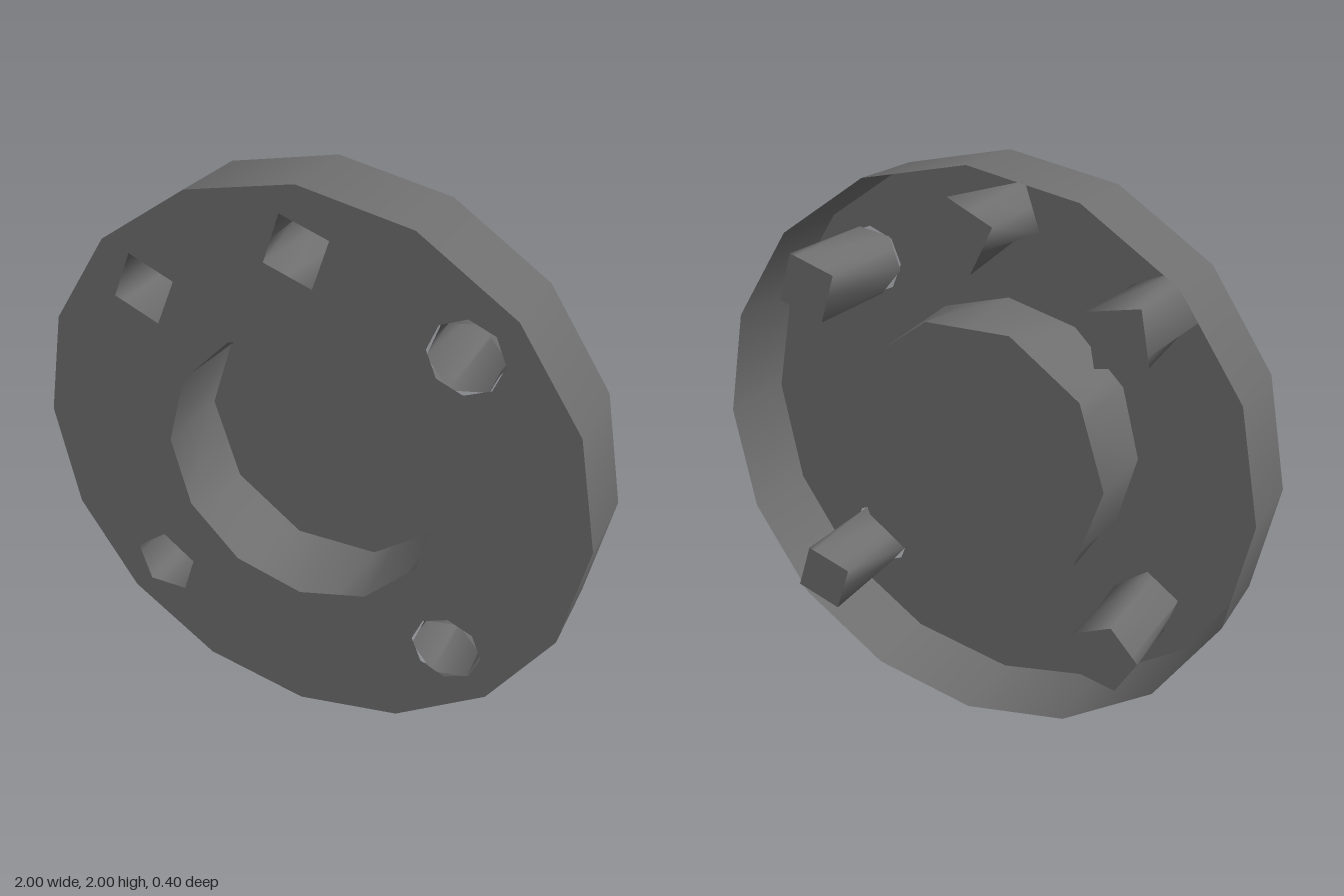
import * as THREE from 'three';
import { toCreasedNormals } from 'three/addons/utils/BufferGeometryUtils.js';

const TAU = Math.PI * 2;
const FRONT = 0.2, BACK = -0.1;
const material = new THREE.MeshStandardMaterial({ color: 0x6e6e6e, side: THREE.DoubleSide });

// Regular polygon: n sides, radius r, first corner at phase (degrees), centre x, y
const poly = (n, r, phase = 0, x = 0, y = 0) => ({ n, r, phase: THREE.MathUtils.degToRad(phase), x, y });

const corners = (p) => Array.from({ length: p.n }, (_, i) => {
  const a = p.phase + (i / p.n) * TAU;
  return new THREE.Vector2(p.x + p.r * Math.cos(a), p.y + p.r * Math.sin(a));
});

// Point on the polygon's outline in direction a
function outlinePoint(p, a) {
  const step = TAU / p.n;
  const local = ((((a - p.phase) % step) + step) % step) - step / 2;
  const d = (p.r * Math.cos(step / 2)) / Math.cos(local);
  return [p.x + d * Math.cos(a), p.y + d * Math.sin(a)];
}

// Open wall joining polygon p at the front to polygon q at z1, keeping both sets of corners
function wall(p, q, z1) {
  const angles = [];
  for (const s of [p, q]) {
    for (let i = 0; i < s.n; i++) {
      const a = (s.phase + (i / s.n) * TAU) % TAU;
      if (!angles.some((b) => Math.abs(a - b) < 1e-4)) angles.push(a);
    }
  }
  angles.sort((a, b) => a - b);
  const pos = [];
  angles.forEach((a, i) => {
    const b = angles[(i + 1) % angles.length];
    const A = [...outlinePoint(p, a), FRONT], B = [...outlinePoint(p, b), FRONT];
    const C = [...outlinePoint(q, a), z1], D = [...outlinePoint(q, b), z1];
    pos.push(...A, ...C, ...B, ...B, ...C, ...D);
  });
  const g = new THREE.BufferGeometry();
  g.setAttribute('position', new THREE.Float32BufferAttribute(pos, 3));
  return toCreasedNormals(g, 1.7);
}

function sheet(outline, holes, z) {
  const shape = new THREE.Shape(corners(outline));
  holes.forEach((h) => shape.holes.push(new THREE.Path(corners(h))));
  return new THREE.ShapeGeometry(shape).translate(0, 0, z);
}

function part(name, geometry) {
  const mesh = new THREE.Mesh(geometry, material);
  mesh.name = name;
  return mesh;
}

// Cup: a wall closed at its back end
function cup(name, mouth, end, zEnd) {
  const g = new THREE.Group();
  g.name = name;
  g.add(part(name + 'Wall', wall(mouth, end, zEnd)));
  g.add(part(name + 'End', sheet(end, [], zEnd)));
  return g;
}

export function createModel() {
  const model = new THREE.Group();
  model.name = 'wheelPlate';
  const body = new THREE.Group();
  body.name = 'body';
  body.position.y = 1;
  model.add(body);

  const hubMouth = poly(12, 0.5);
  const hubEnd = poly(10, 0.5);

  // Bolt sockets: position, plate hole, tube mouth, closed end
  const sockets = [
    { x: 0, y: 0.79, hole: [4, 26], mouth: [4, 26], end: [4, 71], z: -0.15 },
    { x: -0.56, y: 0.56, hole: [4, 22], mouth: [4, 22], end: [4, 34], z: -0.2 },
    { x: -0.56, y: -0.55, hole: [5, 90], mouth: [5, 90], end: [5, 102], z: -0.2 },
    { x: 0.555, y: 0.56, hole: [8, 0], mouth: [6, 10], end: [4, 63], z: -0.2 },
    { x: 0.555, y: -0.55, hole: [8, 0], mouth: [6, 10], end: [4, 63], z: -0.2 },
  ];
  const at = (s, [n, phase]) => poly(n, 0.125, phase, s.x, s.y);

  // Front plate with all openings, and the open-backed rim
  body.add(part('frontPlate', sheet(poly(16, 1), [hubMouth, ...sockets.map((s) => at(s, s.hole))], FRONT)));
  const rim = new THREE.CylinderGeometry(1, 1, FRONT - BACK, 16, 1, true).rotateX(Math.PI / 2);
  body.add(part('outerRim', rim.translate(0, 0, (FRONT + BACK) / 2)));

  // Recessed hub and the bolt sockets
  body.add(cup('hub', hubMouth, hubEnd, BACK));
  sockets.forEach((s, i) => body.add(cup('boltSocket' + (i + 1), at(s, s.mouth), at(s, s.end), s.z)));
  return model;
}
